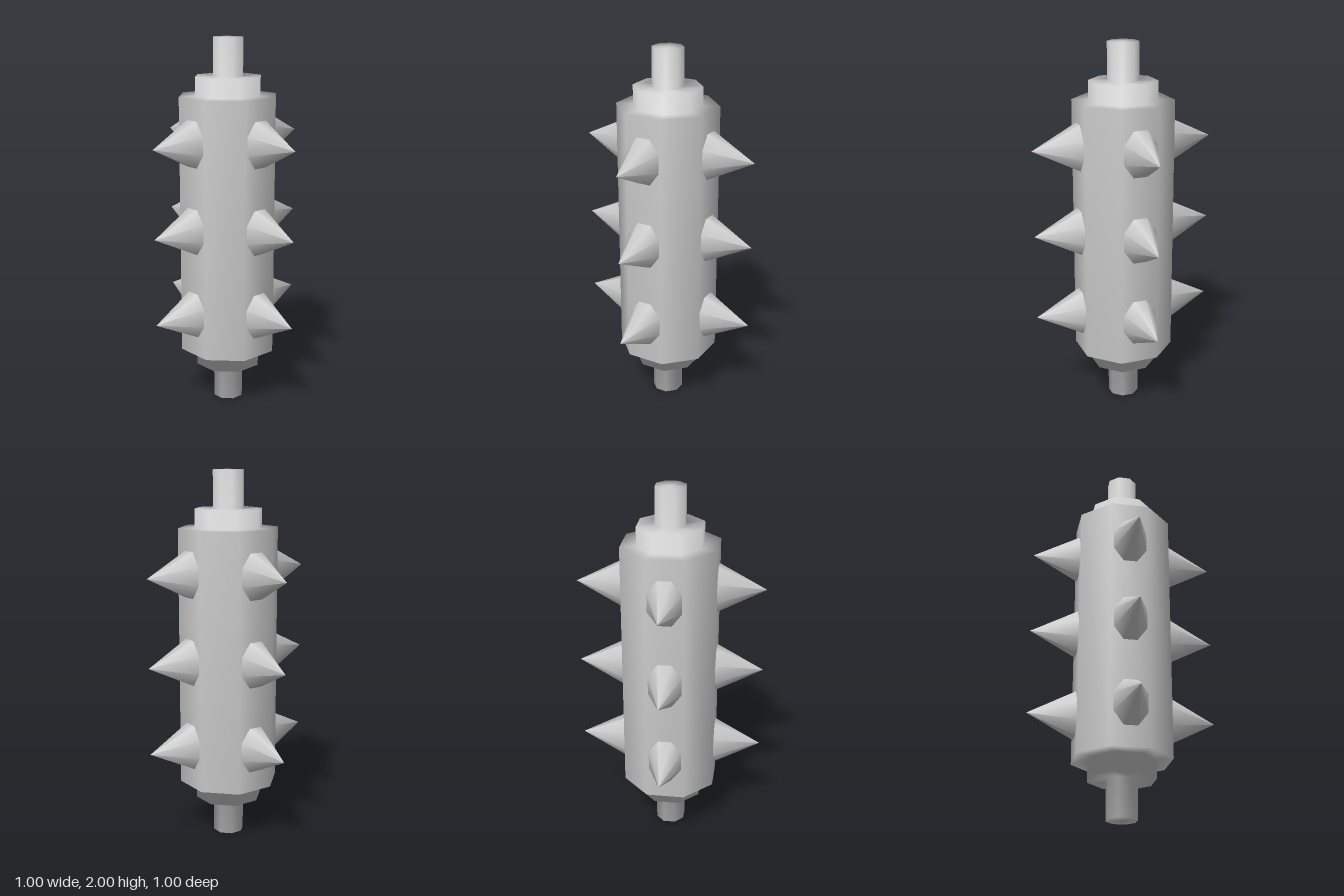
import * as THREE from 'three';

const FLAT = 1 / Math.cos(Math.PI / 8); // octagon: half-width across flats -> corner radius

export function createModel() {
  const group = new THREE.Group();
  const material = new THREE.MeshStandardMaterial({ color: 0xcccccc });

  // Stepped octagonal drum: shaft, collar, wide body, collar, shaft
  const profile = [
    [0, 0], [0.077, 0], [0.077, 0.205], [0.168, 0.205], [0.168, 0.305], [0.249, 0.305],
    [0.249, 1.7], [0.168, 1.7], [0.168, 1.8], [0.077, 1.8], [0.077, 2], [0, 2],
  ].map(([r, y]) => new THREE.Vector2(r * FLAT, y));
  const drum = new THREE.Mesh(new THREE.LatheGeometry(profile, 8, Math.PI / 8), material);
  drum.name = 'steppedDrum';
  group.add(drum);

  // Spike pointing along +z, taller than wide, base just inside the drum wall
  const inner = 0.24, tip = 0.5;
  const spikeGeometry = new THREE.ConeGeometry(FLAT, tip - inner, 8, 1, false, Math.PI / 8);
  spikeGeometry.rotateX(Math.PI / 2);
  spikeGeometry.scale(0.092, 0.126, 1);
  spikeGeometry.translate(0, 0, (inner + tip) / 2);

  // Three rows of four spikes
  [0.538, 1.003, 1.468].forEach((y, row) => {
    const ring = new THREE.Group();
    ring.name = `spikeRow${row + 1}`;
    ring.position.y = y;
    for (let i = 0; i < 4; i++) {
      const spike = new THREE.Mesh(spikeGeometry, material);
      spike.name = 'spike';
      spike.rotation.y = (i * Math.PI) / 2;
      ring.add(spike);
    }
    group.add(ring);
  });

  return group;
}
